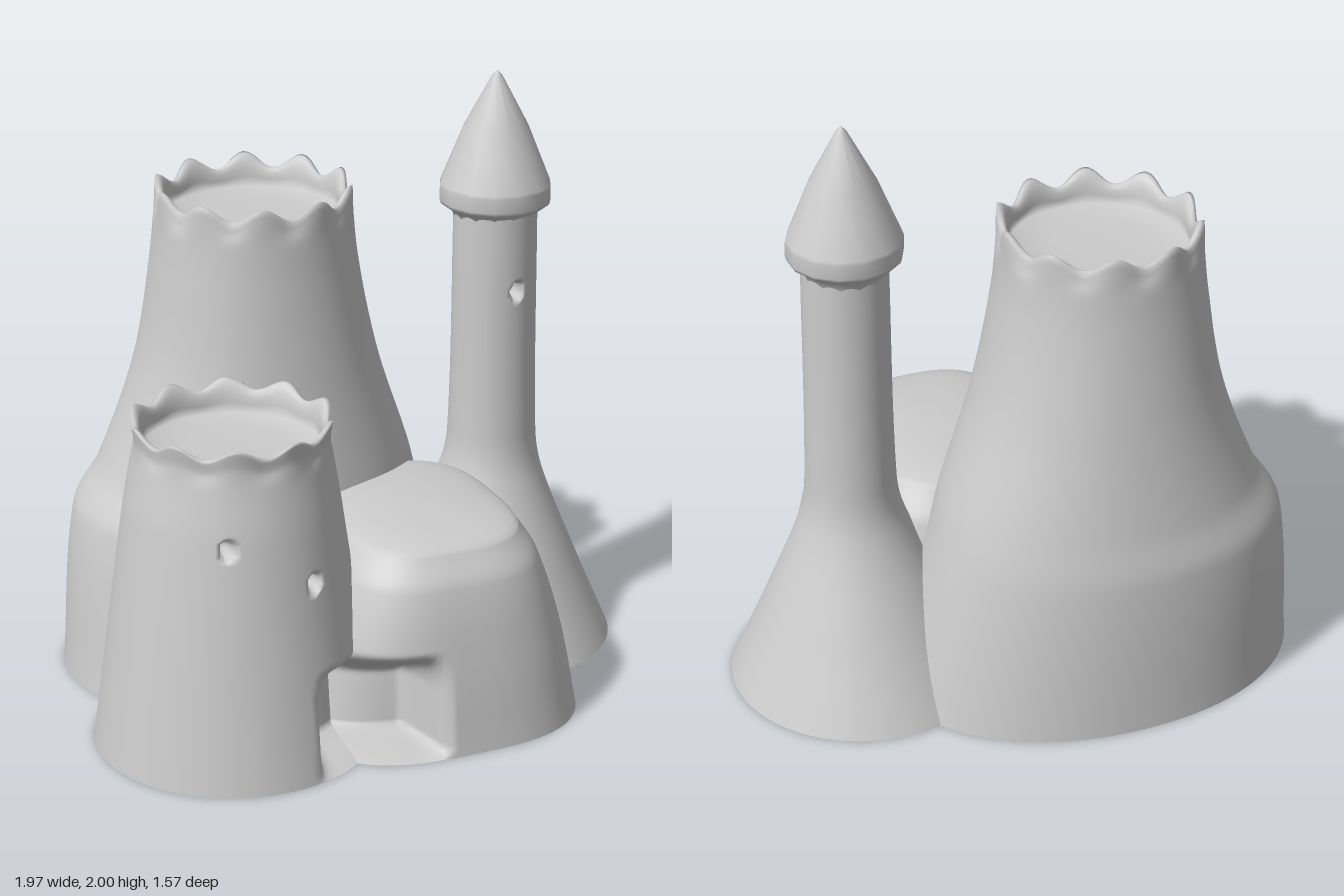
import * as THREE from 'three';

const { smoothstep, lerp } = THREE.MathUtils;

// Body parts are stacks of rounded rings: { y, x, z, rx, rz }
const ring = (y, x, z, rx, rz = rx) => ({ y, x, z, rx, rz });

// Caps close the top with rings { y, scale, weight }, weight being the strength of the scallops.
// Hollow tower top: a thin rim dropping to a flat floor
function cupCap(top) {
  const cap = [];
  for (let i = 1; i <= 6; i++) {
    const t = i / 6;
    cap.push({ y: top - 0.11 * t * t, scale: 1 - 0.12 * Math.sin(t * Math.PI / 2), weight: 1 - t });
  }
  for (const scale of [0.5, 0]) cap.push({ y: top - 0.115, scale, weight: 0 });
  return cap;
}

// Low dome
function domeCap(base, height) {
  const cap = [];
  for (let i = 1; i <= 8; i++) {
    const a = i / 8 * Math.PI / 2;
    cap.push({ y: base + height * Math.sin(a), scale: Math.cos(a), weight: 0 });
  }
  return cap;
}

const keepTower = {
  name: 'keepTower', segments: 120, rows: 70, squareness: 2.1, scallop: 0.055, phase: 0.4, cap: cupCap(1.655),
  rings: [
    ring(0, -0.2, -0.26, 0.705, 0.525),
    ring(0.55, -0.24, -0.31, 0.6, 0.455),
    ring(0.7, -0.215, -0.307, 0.535, 0.427),
    ring(1.05, -0.207, -0.3, 0.41, 0.375),
    ring(1.4, -0.213, -0.293, 0.342, 0.335),
    ring(1.655, -0.212, -0.29, 0.318),
  ],
};

const gateTower = {
  name: 'gateTower', segments: 160, rows: 110, squareness: 2, scallop: 0.04, phase: 0, cap: cupCap(1.105),
  rings: [
    ring(0, -0.53, 0.32, 0.46),
    ring(0.8, -0.53, 0.315, 0.348),
    ring(1.03, -0.526, 0.31, 0.312),
    ring(1.105, -0.526, 0.31, 0.318),
  ],
};

const courtyard = {
  name: 'courtyard', segments: 160, rows: 64, squareness: 3, cap: domeCap(0.64, 0.054),
  rings: [
    ring(0, 0.12, 0.25, 0.5, 0.53),
    ring(0.3, 0.12, 0.25, 0.44, 0.493),
    ring(0.55, 0.12, 0.25, 0.36, 0.44),
    ring(0.64, 0.12, 0.25, 0.305, 0.38),
  ],
};

const turret = {
  name: 'turret', segments: 84, rows: 150, squareness: 2, cap: [],
  rings: [
    ring(0, 0.53, -0.07, 0.45),
    ring(0.3, 0.545, -0.07, 0.308),
    ring(0.6, 0.56, -0.07, 0.177),
    ring(0.75, 0.563, -0.07, 0.15),
    ring(1.54, 0.56, -0.065, 0.139),
  ],
};

const PARTS = [keepTower, gateTower, courtyard, turret];
const topOf = (part) => part.rings[part.rings.length - 1];

// Smoothly interpolated ring at height y
function ringAt(rings, y) {
  let i = 0;
  while (i < rings.length - 2 && y > rings[i + 1].y) i++;
  const p = rings[i], q = rings[i + 1], h = q.y - p.y, t = (y - p.y) / h;
  const slope = (k, key) => {
    const a = rings[Math.max(k - 1, 0)], b = rings[Math.min(k + 1, rings.length - 1)];
    return (b[key] - a[key]) / (b.y - a.y);
  };
  const mix = (key) => p[key] * (1 + 2 * t) * (1 - t) ** 2 + q[key] * t * t * (3 - 2 * t) +
    h * (slope(i, key) * t * (1 - t) ** 2 + slope(i + 1, key) * t * t * (t - 1));
  return ring(y, mix('x'), mix('z'), mix('rx'), mix('rz'));
}

function isInside(part, [px, py, pz]) {
  if (py > topOf(part).y - 0.005) return false;
  const { x, z, rx, rz } = ringAt(part.rings, py), n = part.squareness;
  return Math.abs((px - x) / rx) ** n + Math.abs((pz - z) / rz) ** n < 0.95;
}

// Windows: centre, and the z in front of which the wall is pressed in
const WINDOWS = [
  { x: -0.665, y: 0.79, minZ: 0.4 },
  { x: -0.39, y: 0.64, minZ: 0.4 },
  { x: 0.58, y: 1.275, minZ: 0 },
];

// Presses the doorway and the little windows into the walls
function press([x, y, z]) {
  const door = (1 - smoothstep(Math.abs(x + 0.19), 0.14, 0.225)) *
    smoothstep(y, 0, 0.035) * (1 - smoothstep(y, 0.21, 0.36));
  let depth = 0.22 * door * smoothstep(z, 0.3, 0.66);
  for (const w of WINDOWS) {
    if (z > w.minZ) depth += 0.07 * (1 - smoothstep(Math.hypot((x - w.x) / 0.024, (y - w.y) / 0.037), 0.5, 1));
  }
  return [x, y, z - depth];
}

function buildPart(part) {
  const { rings, cap, segments, rows, squareness: n, scallop = 0, phase = 0 } = part;
  const top = topOf(part);
  const stack = [];
  for (let i = 0; i <= rows; i++) {
    const y = top.y * i / rows;
    stack.push({ ...ringAt(rings, y), scale: 1, weight: smoothstep(y, top.y - 0.14, top.y) });
  }
  for (const layer of cap) stack.push({ ...top, ...layer });

  const points = [];
  for (const { y, x, z, rx, rz, scale, weight } of stack) {
    for (let j = 0; j < segments; j++) {
      const a = j / segments * Math.PI * 2, c = Math.cos(a), s = Math.sin(a);
      const notch = 0.5 - 0.5 * Math.cos(10 * a + phase);
      const bulge = scallop ? 1 + weight * lerp(0.02, -0.025, notch) : 1;
      const r = scale * bulge * (Math.abs(c / rx) ** n + Math.abs(s / rz) ** n) ** (-1 / n);
      points.push([x + r * c, y - scallop * weight * notch, z + r * s]);
    }
  }

  // Keep only the outer shell: skip faces buried in a neighbouring part
  const others = PARTS.filter((p) => p !== part);
  const buried = points.map((p) => others.some((o) => isInside(o, p)));
  const index = [];
  const face = (a, b, c) => { if (!(buried[a] && buried[b] && buried[c])) index.push(a, b, c); };
  for (let i = 0; i < stack.length - 1; i++) {
    for (let j = 0; j < segments; j++) {
      const a = i * segments + j, b = i * segments + (j + 1) % segments;
      face(a, a + segments, b);
      face(b, a + segments, b + segments);
    }
  }
  const geometry = new THREE.BufferGeometry();
  geometry.setAttribute('position', new THREE.Float32BufferAttribute(points.map(press).flat(), 3));
  geometry.setIndex(index);
  geometry.computeVertexNormals();
  return geometry;
}

export function createModel() {
  const group = new THREE.Group();
  group.name = 'sandCastle';
  const material = new THREE.MeshStandardMaterial({ color: 0xcccccc, side: THREE.DoubleSide });
  const add = (name, geometry) => {
    const mesh = new THREE.Mesh(geometry, material);
    mesh.name = name;
    group.add(mesh);
    return mesh;
  };

  for (const part of PARTS) add(part.name, buildPart(part));

  // Pointed turret roof with a rounded eave
  const roofProfile = [
    [0.136, 1.5], [0.145, 1.528], [0.182, 1.553], [0.187, 1.565], [0.187, 1.612],
    [0.184, 1.622], [0.108, 1.81], [0.018, 1.98], [0, 2],
  ].map(([r, y]) => new THREE.Vector2(r, y));
  add('turretRoof', new THREE.LatheGeometry(roofProfile, 14)).position.set(0.56, 0, -0.07);

  return group;
}
